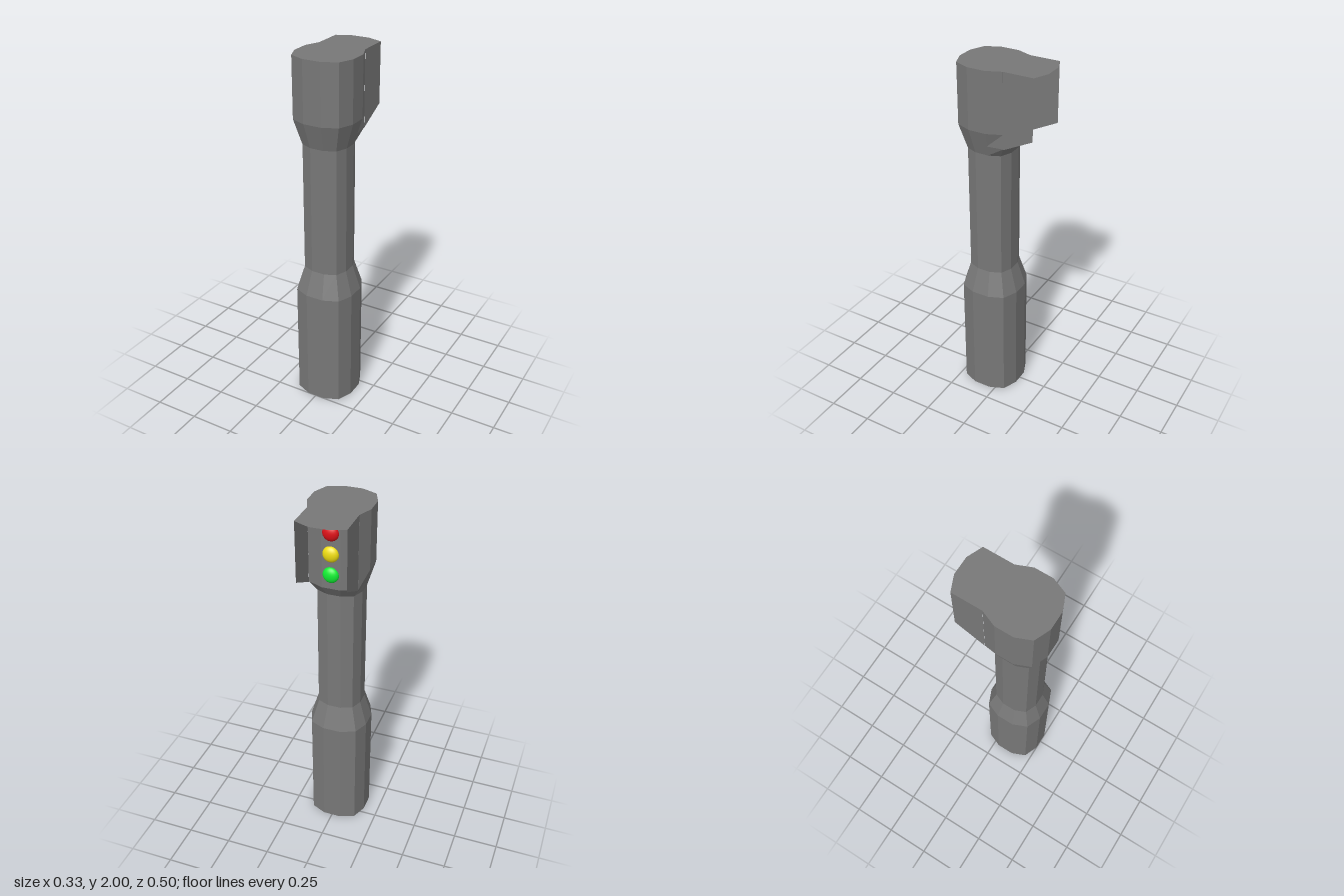
import * as THREE from 'three';

const CZ = 0.083; // the post axis sits forward of the centre
const grey = new THREE.MeshStandardMaterial({ color: 0x777777, flatShading: true, side: THREE.DoubleSide });

// Twelve-sided section [x, z], running from the front right round to the back and on
const quarter = [[0.05, 0.167], [0.133, 0.132], [0.167, 0.05]];
const section = [
  ...quarter,
  ...quarter.map(([x, z]) => [x, -z]).reverse(),
  ...quarter.map(([x, z]) => [-x, -z]),
  ...quarter.map(([x, z]) => [-x, z]).reverse(),
];
const isBack = (i) => i >= 4 && i <= 7;

// Skin rings of equal length, lowest first, and close the bottom
function loft(rings) {
  const n = rings[0].length;
  const index = [];
  for (let r = 0; r < rings.length - 1; r++) {
    for (let i = 0; i < n; i++) {
      const a = r * n + i, b = r * n + (i + 1) % n;
      index.push(a, b, b + n, a, b + n, a + n);
    }
  }
  for (let i = 1; i < n - 1; i++) index.push(0, i + 1, i);
  const geo = new THREE.BufferGeometry();
  geo.setAttribute('position', new THREE.Float32BufferAttribute(rings.flat(2), 3));
  geo.setIndex(index);
  const flat = geo.toNonIndexed();
  flat.computeVertexNormals();
  return flat;
}

function add(group, name, geometry, material) {
  const mesh = new THREE.Mesh(geometry, material);
  mesh.name = name;
  group.add(mesh);
  return mesh;
}

export function createModel() {
  const group = new THREE.Group();
  group.name = 'trafficLight';

  // Post: thick base, slim shaft, flared head; the back flares out sooner
  const slim = 0.75;
  const levels = [
    [0, 1, 1], [0.67, 1, 1], [0.81, slim, slim], [1.53, slim, slim],
    [1.59, 0.857, 1], [1.67, 1, 1], [2, 1, 1],
  ];
  const rings = levels.map(([y, front, back]) => section.map(([x, z], i) => {
    const s = isBack(i) ? back : front;
    return [x * s, y, z * s + CZ];
  }));
  add(group, 'post', loft(rings), grey);

  // Flat roof reaching out behind the head, as [x, z] down one side
  const half = [[0.05, 0.25], [0.133, 0.215], [0.167, 0.133], [0.167, 0.033],
    [0.133, -0.05], [0.133, -0.217], [0.05, -0.252]];
  const outline = [...half, ...half.map(([x, z]) => [-x, z]).reverse()];
  const roofShape = new THREE.Shape(outline.map(([x, z]) => new THREE.Vector2(x, -z)));
  const roof = add(group, 'roof', new THREE.ShapeGeometry(roofShape).rotateX(-Math.PI / 2), grey);
  roof.position.y = 2;

  // Thin side walls shading the lamps, drawn as (-z, y)
  const wallShape = new THREE.Shape([[0.05, 1.587], [0.217, 1.67], [0.217, 2], [0.05, 2]]
    .map(([z, y]) => new THREE.Vector2(z, y)));
  for (const [name, side] of [['leftHoodWall', 1], ['rightHoodWall', -1]]) {
    const wall = add(group, name, new THREE.ShapeGeometry(wallShape).rotateY(Math.PI / 2), grey);
    wall.position.x = side * 0.133;
  }

  // Lamps on the back panel
  const lamps = [['redLamp', 1.9, 0xdd1118], ['yellowLamp', 1.785, 0xeedd11], ['greenLamp', 1.67, 0x11ee33]];
  for (const [name, y, color] of lamps) {
    const lamp = add(group, name, new THREE.SphereGeometry(0.043, 24, 16),
      new THREE.MeshStandardMaterial({ color }));
    lamp.position.set(0, y, -0.084);
    lamp.scale.z = 0.6;
  }
  return group;
}
